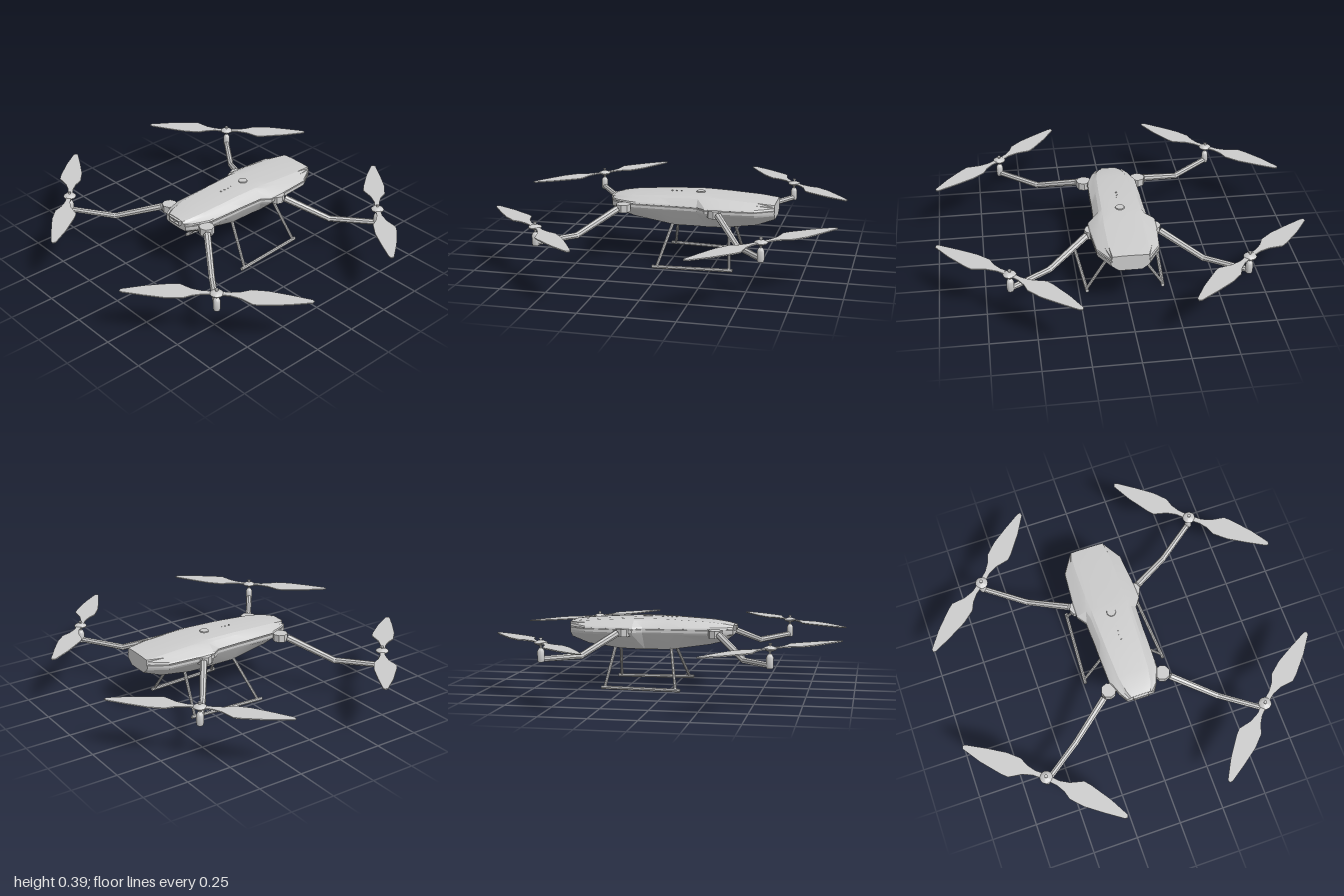
import * as THREE from 'three';
import { toCreasedNormals } from 'three/addons/utils/BufferGeometryUtils.js';

const mat = new THREE.MeshStandardMaterial({ color: 0xcccccc });
const V = (x, y, z) => new THREE.Vector3(x, y, z);

export function createModel() {
  const root = new THREE.Group();

  const add = (name, geo, parent = root, x = 0, y = 0, z = 0) => {
    const m = new THREE.Mesh(geo, mat);
    m.name = name;
    m.position.set(x, y, z);
    parent.add(m);
    return m;
  };

  // Straight bar between two points
  const bar = (name, a, b, r0, r1, sides, parent) => {
    const d = b.clone().sub(a);
    const geo = toCreasedNormals(new THREE.CylinderGeometry(r1, r0, d.length(), sides), 0.6);
    const m = add(name, geo, parent);
    m.position.copy(a).add(b).multiplyScalar(0.5);
    m.quaternion.setFromUnitVectors(V(0, 1, 0), d.normalize());
    return m;
  };

  // Fuselage: z, side half width, belly half width, belly y, roof half width, roof y
  const sections = [
    [0.335, 0.08, 0.045, 0.295, 0.055, 0.352],
    [0.295, 0.105, 0.05, 0.265, 0.07, 0.361],
    [0.21, 0.138, 0.06, 0.243, 0.085, 0.372],
    [0.05, 0.142, 0.07, 0.22, 0.093, 0.381],
    [-0.02, 0.142, 0.075, 0.21, 0.095, 0.385],
    [-0.16, 0.147, 0.075, 0.21, 0.1, 0.388],
    [-0.21, 0.183, 0.08, 0.21, 0.1, 0.387],
    [-0.3, 0.18, 0.08, 0.213, 0.105, 0.382],
    [-0.48, 0.165, 0.075, 0.237, 0.105, 0.371],
    [-0.58, 0.102, 0.06, 0.272, 0.095, 0.361],
  ];
  const ring = ([z, w, b, yb, t, yt]) => {
    const half = [
      [b, yb],
      [w * 0.96, 0.3],
      [w, 0.312],
      [w, 0.327],
      [w - 0.007, 0.328], // groove between the shells
      [w - 0.007, 0.333],
      [w, 0.334],
      [w * 0.97, 0.342],
      [t + (w - t) * 0.35, yt - 0.013],
      [t, yt - 0.003],
      [t * 0.5, yt],
    ];
    const mirror = half.map(([x, y]) => [-x, y]).reverse();
    return [...half, ...mirror].map(([x, y]) => [x, y, z]);
  };
  const pos = sections.flatMap(ring);
  const n = pos.length / sections.length;
  const last = (sections.length - 1) * n;
  pos.push([0, 0.32, sections[0][0]], [0, 0.32, sections.at(-1)[0]]);
  const idx = [];
  for (let j = 0; j < n; j++) {
    const k = (j + 1) % n;
    for (let i = 0; i < last; i += n) {
      idx.push(i + j, i + n + j, i + k, i + k, i + n + j, i + n + k);
    }
    idx.push(last + n, j, k, last + n + 1, last + k, last + j);
  }
  const hull = new THREE.BufferGeometry();
  hull.setAttribute('position', new THREE.Float32BufferAttribute(pos.flat(), 3));
  hull.setIndex(idx);
  add('fuselage', toCreasedNormals(hull, 0.3));

  // Nose camera: frame with a recessed window
  const frame = new THREE.Shape([[-0.043, 0.321], [0.043, 0.321], [0.043, 0.349], [-0.043, 0.349]]
    .map(([x, y]) => new THREE.Vector2(x, y)));
  frame.holes.push(new THREE.Path([[-0.037, 0.326], [-0.037, 0.344], [0.037, 0.344], [0.037, 0.326]]
    .map(([x, y]) => new THREE.Vector2(x, y))));
  add('cameraFrame', new THREE.ExtrudeGeometry(frame, { depth: 0.018, bevelEnabled: false }), root, 0, 0, 0.33);
  const lens = new THREE.CylinderGeometry(0.008, 0.008, 0.008, 20).rotateX(Math.PI / 2);
  add('cameraLens', lens, root, 0, 0.335, 0.339);

  // Power button and charge lights on the roof
  add('powerButton', new THREE.CylinderGeometry(0.024, 0.026, 0.008, 28), root, 0, 0.389, -0.155);
  for (let i = 0; i < 4; i++) {
    add('chargeLight', new THREE.CylinderGeometry(0.005, 0.005, 0.005, 12), root, 0, 0.385, -0.07 + i * 0.026);
  }

  // Propeller blade outline as [distance from hub, sideways offset]
  const outline = [
    [0.02, 0.014], [0.07, 0.014], [0.125, 0.03], [0.19, 0.07], [0.23, 0.068], [0.36, 0.045],
    [0.475, 0.012], [0.483, -0.004], [0.47, -0.014], [0.36, -0.035], [0.25, -0.052],
    [0.165, -0.05], [0.12, -0.026], [0.07, -0.014], [0.02, -0.014],
  ];
  const blade = (dx, dz, sx, sz) => {
    const l = Math.hypot(dx, dz), c = dx / l, s = dz / l;
    const shape = new THREE.Shape(outline.map(([r, w]) =>
      new THREE.Vector2(sx * (r * c - w * s), sz * (r * s + w * c))));
    return new THREE.ExtrudeGeometry(shape, { depth: 0.006, bevelEnabled: false }).rotateX(Math.PI / 2);
  };

  const lathe = (pts, seg) => toCreasedNormals(
    new THREE.LatheGeometry(pts.map(([x, y]) => new THREE.Vector2(x, y)), seg), 0.6);

  // Four arms, each with shoulder, motor and propeller
  for (const sx of [1, -1]) {
    for (const sz of [1, -1]) {
      const arm = new THREE.Group();
      arm.name = (sz > 0 ? 'front' : 'rear') + (sx > 0 ? 'Left' : 'Right') + 'Arm';
      root.add(arm);
      const mz = sz * 0.592;
      const shoulder = sz > 0 ? V(sx * 0.155, 0.312, 0.25) : V(sx * 0.165, 0.312, -0.265);
      const start = shoulder.clone().add(V(sx * 0.035, -0.002, sz * 0.026));
      const elbow = V(sx * 0.41, 0.213, sz * 0.437);
      const end = V(sx * 0.622, 0.224, mz);

      const block = new THREE.CylinderGeometry(0.042, 0.042, 0.042, 8);
      add('shoulder', toCreasedNormals(block, 0.3), arm, ...shoulder.toArray());
      bar('upperArm', start, elbow, 0.02, 0.017, 8, arm);
      add('elbow', new THREE.SphereGeometry(0.0175, 12, 8), arm, ...elbow.toArray());
      bar('forearm', elbow, end, 0.017, 0.016, 8, arm);

      add('motor', lathe([
        [0, 0.207], [0.016, 0.209], [0.019, 0.22], [0.019, 0.265], [0.015, 0.274],
        [0.011, 0.28], [0.006, 0.283], [0.006, 0.3], [0, 0.3],
      ], 20), arm, end.x, 0, mz);
      add('propellerHub', lathe([
        [0, 0.292], [0.013, 0.295], [0.033, 0.304], [0.035, 0.31], [0.031, 0.315],
        [0.014, 0.322], [0.006, 0.324], [0.006, 0.328], [0.009, 0.33], [0.009, 0.336], [0, 0.337],
      ], 24), arm, end.x, 0, mz);
      add('innerBlade', blade(-0.335, 0.34, sx, sz), arm, end.x, 0.313, mz);
      add('outerBlade', blade(0.375, -0.31, sx, sz), arm, end.x, 0.313, mz);
    }
  }

  // Landing gear: two struts and a skid on each side
  for (const sx of [1, -1]) {
    const gear = new THREE.Group();
    gear.name = sx > 0 ? 'leftLandingGear' : 'rightLandingGear';
    root.add(gear);
    bar('frontStrut', V(sx * 0.065, 0.222, -0.012), V(sx * 0.232, 0.012, 0.042), 0.009, 0.008, 8, gear);
    bar('rearStrut', V(sx * 0.065, 0.222, -0.328), V(sx * 0.209, 0.012, -0.357), 0.009, 0.008, 8, gear);
    bar('skid', V(sx * 0.236, 0.01, 0.068), V(sx * 0.207, 0.01, -0.376), 0.01, 0.01, 8, gear);
  }

  return root;
}
